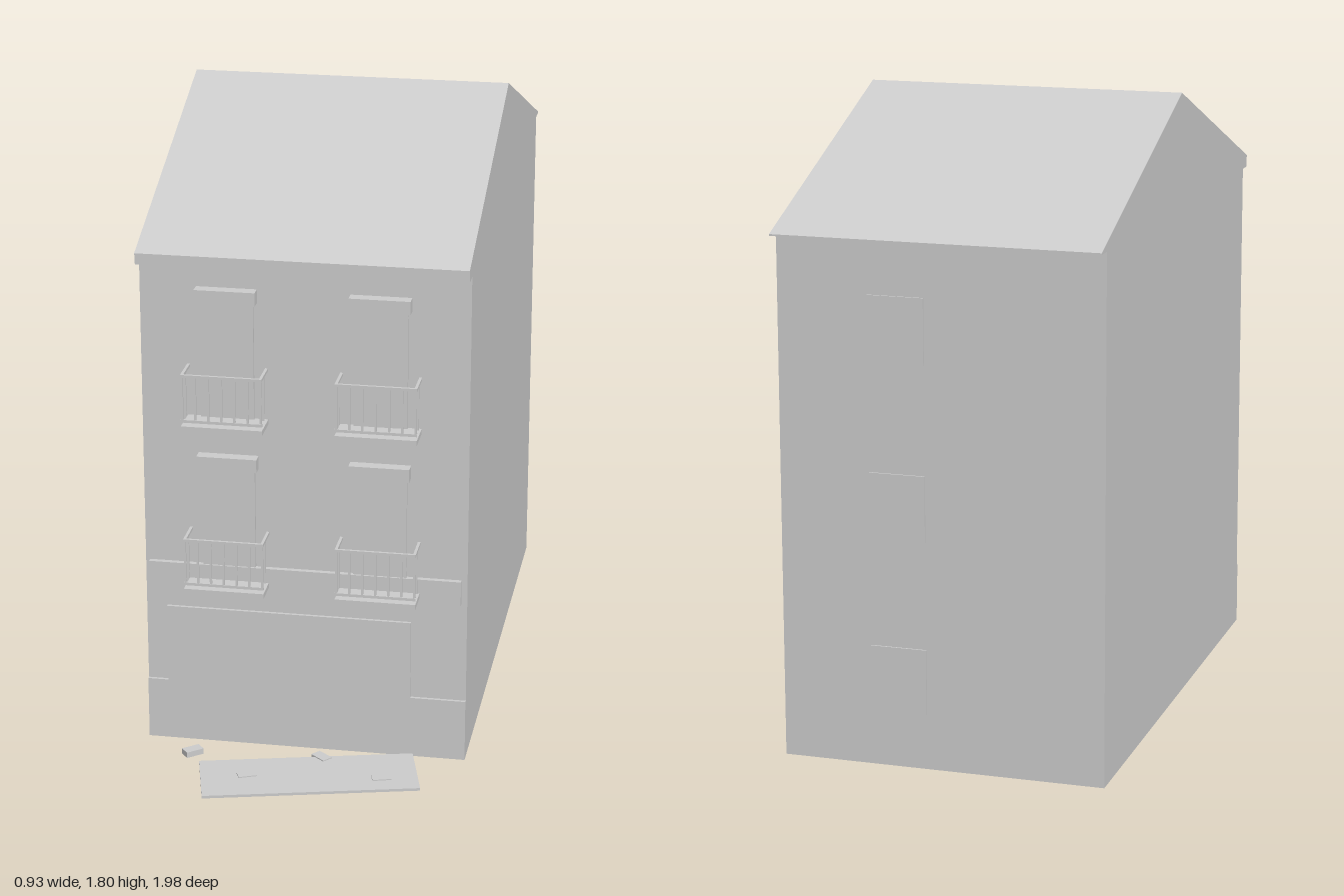
import * as THREE from 'three';

const grey = new THREE.MeshStandardMaterial({ color: 0xcccccc });
grey.name = 'plain grey';

// Box given by its minimum and maximum on each axis
function box(parent, name, x0, x1, y0, y1, z0, z1) {
  const mesh = new THREE.Mesh(new THREE.BoxGeometry(x1 - x0, y1 - y0, z1 - z0), grey);
  mesh.position.set((x0 + x1) / 2, (y0 + y1) / 2, (z0 + z1) / 2);
  mesh.name = name;
  parent.add(mesh);
  return mesh;
}

function extrude(parent, name, points, depth) {
  const shape = new THREE.Shape(points.map(([a, b]) => new THREE.Vector2(a, b)));
  const mesh = new THREE.Mesh(new THREE.ExtrudeGeometry(shape, { depth, bevelEnabled: false }), grey);
  mesh.name = name;
  parent.add(mesh);
  return mesh;
}

const HALF = 0.465, FRONT = 0.615, BACK = -0.94;

// Railed balcony centred on x, with its slab resting at height y
function balcony(x, y) {
  const g = new THREE.Group();
  g.name = 'balcony';
  const w = 0.115, rail = 0.705, r = 0.004;
  box(g, 'balconySlab', -w, w, y, y + 0.015, FRONT, 0.71);
  const bottom = y + 0.03, top = y + 0.163;
  for (const h of [bottom, top]) {
    box(g, 'frontRail', -w, w, h - r, h + r, rail - r, rail + r);
  }
  for (const s of [-1, 1]) {
    const sx = s * (w - r);
    box(g, 'sideRail', sx - r, sx + r, top - r, top + r, FRONT, rail + r);
    box(g, 'sideBaluster', sx - 0.003, sx + 0.003, bottom, top, 0.662, 0.668);
  }
  for (let i = 0; i < 7; i++) {
    const bx = -w + r + (i * 2 * (w - r)) / 6;
    box(g, 'baluster', bx - 0.003, bx + 0.003, bottom, top, rail - 0.003, rail + 0.003);
  }
  g.position.x = x;
  return g;
}

export function createModel() {
  const house = new THREE.Group();
  house.name = 'townhouse';

  // Walls and gabled roof, extruded across the width
  const walls = extrude(house, 'walls',
    [[BACK, 0], [FRONT, 0], [FRONT, 1.492], [BACK, 1.492]], 2 * HALF);
  const roof = extrude(house, 'roof',
    [[-0.99, 1.492], [0.67, 1.492], [0.67, 1.497], [-0.16, 1.805], [-0.99, 1.497]], 2 * HALF);
  for (const part of [walls, roof]) {
    part.rotation.y = -Math.PI / 2;
    part.position.x = HALF;
  }
  box(house, 'cornice', -HALF, HALF, 1.463, 1.492, FRONT, 0.665);

  // Raised shopfront and the band above it
  const shopfront = extrude(house, 'shopfront', [
    [-HALF, 0], [HALF, 0], [HALF, 0.185], [0.305, 0.185],
    [0.305, 0.42], [-0.405, 0.42], [-0.405, 0.185], [-HALF, 0.185],
  ], 0.009);
  shopfront.position.z = FRONT;
  box(house, 'signBand', -0.453, 0.448, 0.487, 0.56, FRONT, 0.63);

  // Front windows with shutter boxes and balconies
  for (const y of [0.502, 0.996]) {
    for (const x of [-0.219, 0.215]) {
      box(house, 'balconyDoor', x - 0.076, x + 0.076, y + 0.01, y + 0.36, FRONT, 0.624);
      box(house, 'shutterBox', x - 0.086, x + 0.086, y + 0.358, y + 0.397, FRONT, 0.65);
      house.add(balcony(x, y));
    }
  }

  // Rear windows
  for (const y of [0.16, 0.655, 1.15]) {
    box(house, 'rearWindow', 0.045, 0.205, y, y + 0.187, BACK - 0.005, BACK);
  }

  // Fallen board on the ground with small chunks around it
  const board = box(house, 'fallenBoard', -0.308, 0.308, 0.006, 0.014, -0.107, 0.107);
  board.position.x = 0.043;
  board.position.z = 0.814;
  board.rotation.y = 0.247;
  [[-0.315, 0.718, 0.7], [-0.13, 0.845, 0.4], [0.06, 0.7, -0.7], [0.25, 0.8, 0.3]].forEach(([x, z, turn]) => {
    const chunk = box(house, 'chunk', -0.027, 0.027, 0, 0.017, -0.016, 0.016);
    chunk.position.x = x;
    chunk.position.z = z;
    chunk.rotation.y = turn;
  });

  return house;
}
